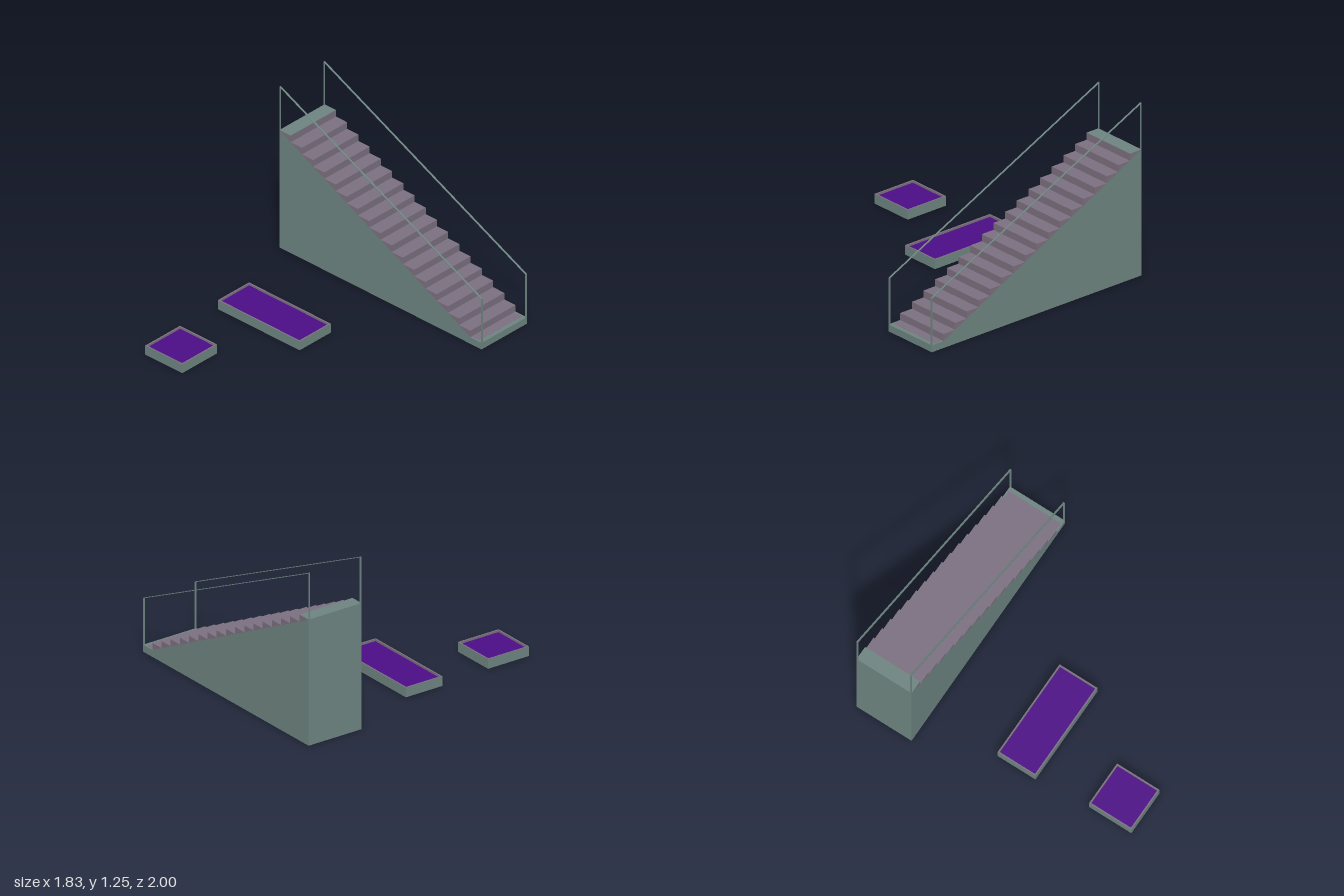
import * as THREE from 'three';

const mat = (name, color) => {
  const m = new THREE.MeshStandardMaterial({ color });
  m.name = name;
  return m;
};

export function createModel() {
  const green = mat('grey green', 0x6d8480);
  const mauve = mat('mauve grey', 0x7b6f7f);
  const purple = mat('deep purple', 0x4b0c85);
  const root = new THREE.Group();

  const add = (parent, name, geometry, material, x = 0, y = 0, z = 0) => {
    const mesh = new THREE.Mesh(geometry, material);
    mesh.name = name;
    mesh.position.set(x, y, z);
    parent.add(mesh);
    return mesh;
  };
  const box = (parent, name, w, h, d, material, x, y, z) =>
    add(parent, name, new THREE.BoxGeometry(w, h, d), material, x, y, z);
  const prism = (points, depth) => new THREE.ExtrudeGeometry(
    new THREE.Shape(points.map(p => new THREE.Vector2(...p))), { depth, bevelEnabled: false });

  // Staircase dimensions
  const X = 0.915, TOP = 0.915, N = 18, RUN = 2 * X / N, RISE = TOP / N;
  const Z0 = -1, Z1 = -0.565, DEPTH = Z1 - Z0, ZM = (Z0 + Z1) / 2;
  const stairs = new THREE.Group();
  stairs.name = 'staircase';
  root.add(stairs);

  // Solid ramp under the steps
  add(stairs, 'stairBase', prism([
    [-X, 0], [X, 0], [X, RISE], [X - RUN, RISE], [-X, TOP],
  ], DEPTH), green, 0, 0, Z0);

  // Wedge steps resting on the ramp
  for (let i = 0; i < N - 1; i++) {
    const x = -X + i * RUN, y = TOP - i * RISE;
    add(stairs, 'step', prism([[x, y], [x + RUN, y - RISE], [x + RUN, y]], DEPTH), mauve, 0, 0, Z0);
  }
  box(stairs, 'topLanding', RUN, 0.002, DEPTH, green, -X + RUN / 2, TOP, ZM);
  box(stairs, 'bottomTread', 0.07, 0.002, DEPTH - 0.024, mauve, X - RUN + 0.035, RISE, ZM);

  // Thin flat handrails with a post at each end
  const W = 0.013, T = 0.004, H = 0.34;
  for (const z of [Z0 + W / 2, Z1 - W / 2]) {
    const rail = new THREE.Group();
    rail.name = 'handrail';
    stairs.add(rail);
    box(rail, 'upperPost', T, H, W, green, -X + T / 2, TOP + H / 2, z);
    box(rail, 'lowerPost', T, H, W, green, X - T / 2, RISE + H / 2, z);
    const yA = TOP + H, yB = RISE + H;
    add(rail, 'railBar', prism([[-X, yA - T], [X, yB - T], [X, yB], [-X, yA]], W), green, 0, 0, z - W / 2);
  }

  // Shallow framed trays with a recessed panel
  const tray = (name, x0, x1, z0, z1) => {
    const g = new THREE.Group(), h = 0.07, t = 0.01;
    g.name = name;
    g.position.set((x0 + x1) / 2, h / 2, (z0 + z1) / 2);
    root.add(g);
    const w = x1 - x0, d = z1 - z0;
    for (const s of [-1, 1]) {
      // Outer faces green, rim and inner faces mauve
      const side = [0, 1, 2, 3, 4, 5].map(f => f === (s > 0 ? 0 : 1) || f > 3 ? green : mauve);
      const end = [0, 1, 2, 3, 4, 5].map(f => f === (s > 0 ? 4 : 5) ? green : mauve);
      box(g, 'sideWall', t, h, d, side, s * (w - t) / 2, 0, 0);
      box(g, 'endWall', w - 2 * t, h, t, end, 0, 0, s * (d - t) / 2);
    }
    box(g, 'panel', w - 2 * t, h - 0.03, d - 2 * t, purple, 0, 0, 0);
  };
  tray('longTray', -0.69, 0.05, -0.035, 0.265);
  tray('squareTray', -0.655, -0.32, 0.665, 1);

  return root;
}
